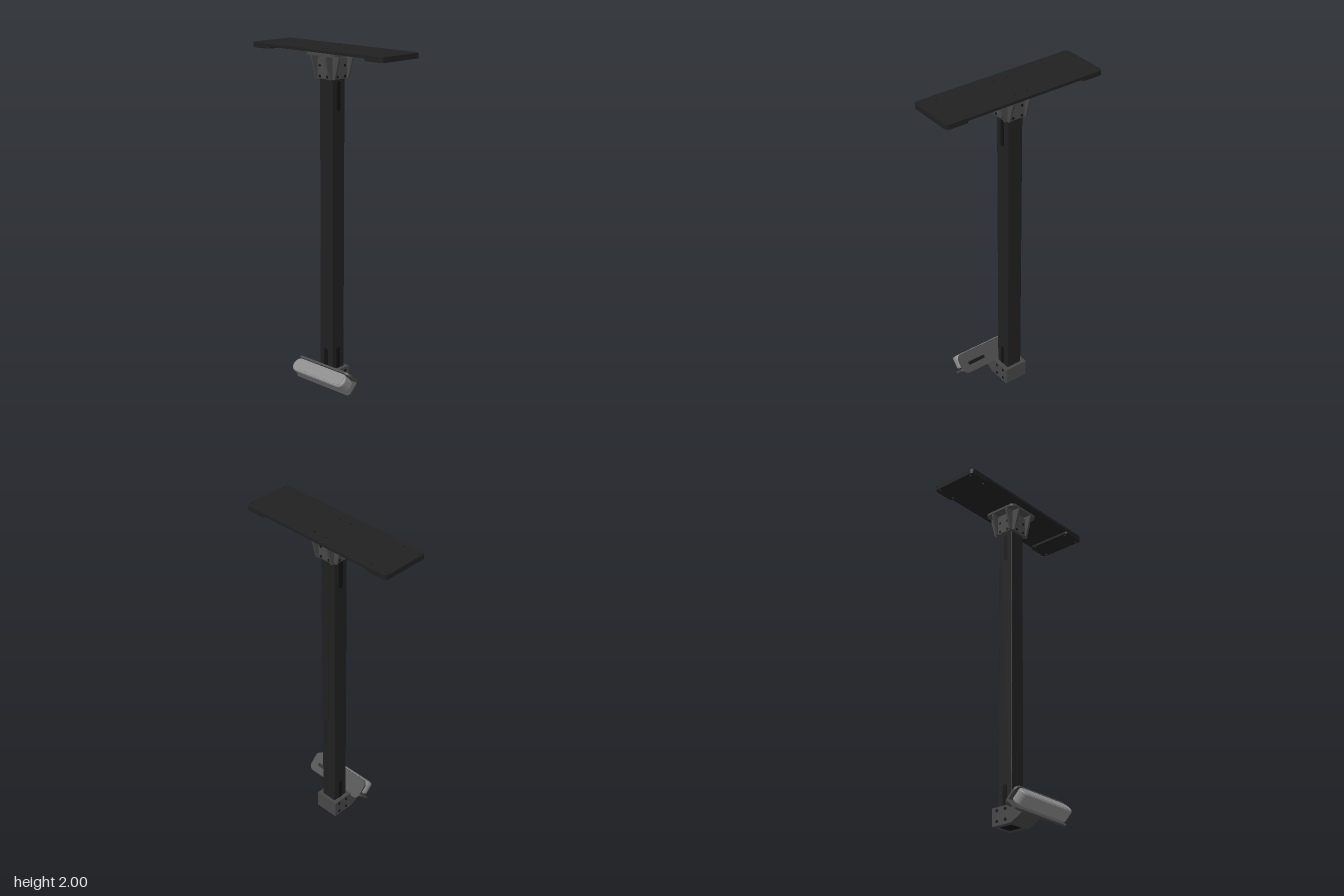
import * as THREE from 'three';

const mat = (name, color) => Object.assign(new THREE.MeshStandardMaterial({ color }), { name });

// Rounded rectangle outline, centred on the origin
function roundRect(w, h, r, Target = THREE.Shape) {
  const s = new Target(), x = w / 2, y = h / 2;
  s.moveTo(x, -y + r);
  s.lineTo(x, y - r).absarc(x - r, y - r, r, 0, Math.PI / 2);
  s.lineTo(-x + r, y).absarc(-x + r, y - r, r, Math.PI / 2, Math.PI);
  s.lineTo(-x, -y + r).absarc(-x + r, -y + r, r, Math.PI, Math.PI * 1.5);
  s.lineTo(x - r, -y).absarc(x - r, -y + r, r, Math.PI * 1.5, Math.PI * 2);
  return s;
}

// Extrusion centred along its depth
function slab(shape, depth, opts = {}) {
  const g = new THREE.ExtrudeGeometry(shape, { depth, bevelEnabled: false, curveSegments: 8, ...opts });
  return g.translate(0, 0, -depth / 2);
}

// Outline of [z, y] points, extruded along x
const sideProfile = (pts, width) =>
  slab(new THREE.Shape(pts.map(p => new THREE.Vector2(...p))), width).rotateY(-Math.PI / 2);

export function createModel() {
  const root = new THREE.Group();
  const black = mat('black metal', 0x202020);
  const grey = mat('dark grey bracket', 0x464646);
  const silver = mat('grey casing', 0x8a8a8a);
  const dark = mat('recess black', 0x121212);
  const add = (parent, name, geo, m, x = 0, y = 0, z = 0) => {
    const mesh = new THREE.Mesh(geo, m);
    mesh.name = name;
    mesh.position.set(x, y, z);
    parent.add(mesh);
    return mesh;
  };
  const box = (w, h, d) => new THREE.BoxGeometry(w, h, d);
  const disc = r => new THREE.CylinderGeometry(r, r, 0.004, 12);
  const postZ = -0.03, plateZ = -0.035;

  // Top plate with mounting slots
  const top = roundRect(1.02, 0.306, 0.025);
  for (const x of [-0.495, -0.385, 0.385, 0.495]) for (const y of [-0.12, 0.12]) {
    const hole = new THREE.Path();
    hole.absellipse(x, y, 0.004, 0.008, 0, Math.PI * 2, true);
    top.holes.push(hole);
  }
  add(root, 'topPlate', slab(top, 0.016).rotateX(-Math.PI / 2), black, 0, 1.992, plateZ);
  for (const x of [-0.042, 0.042]) for (const z of [-0.128, 0.055])
    add(root, 'plateScrew', disc(0.005), dark, x, 1.9985, z);

  // Thick pads under both plate ends
  for (const s of [-1, 1]) {
    const pad = roundRect(0.14, 0.3, 0.02);
    for (const x of [-0.055, 0.055]) for (const y of [-0.12, 0.12]) {
      const hole = new THREE.Path();
      hole.absellipse(x, y, 0.004, 0.008, 0, Math.PI * 2, true);
      pad.holes.push(hole);
    }
    add(root, 'endPad', slab(pad, 0.015).rotateX(-Math.PI / 2), black, s * 0.44, 1.9775, plateZ);
  }

  // Hollow post
  const tube = roundRect(0.1, 0.1, 0.006);
  tube.holes.push(roundRect(0.084, 0.084, 0.004, THREE.Path));
  add(root, 'post', slab(tube, 1.95).rotateX(-Math.PI / 2), black, 0, 0.985, postZ);
  for (const s of [-1, 1]) for (const y of [1.73, 0.15])
    add(root, 'postSlot', slab(roundRect(0.03, 0.17, 0.015), 0.003).rotateY(Math.PI / 2), dark, s * 0.05, y, postZ);
  add(root, 'frontSlot', slab(roundRect(0.03, 0.12, 0.015), 0.003), dark, 0, 0.17, 0.02);

  // Upper bracket: flange, sleeve and paired gussets on each side
  const bracket = new THREE.Group();
  bracket.name = 'upperBracket';
  bracket.position.set(0, 0, postZ);
  root.add(bracket);
  add(bracket, 'spacer', box(0.14, 0.012, 0.14), black, 0, 1.98, 0);
  add(bracket, 'flange', slab(roundRect(0.222, 0.222, 0.03), 0.014).rotateX(-Math.PI / 2), grey, 0, 1.968, 0);
  add(bracket, 'sleeve', box(0.118, 0.14, 0.118), grey, 0, 1.898, 0);
  for (let i = 0; i < 4; i++) {
    const side = new THREE.Group();
    side.name = 'bracketSide';
    side.rotation.y = i * Math.PI / 2;
    bracket.add(side);
    add(side, 'screwPanel', box(0.095, 0.115, 0.014), grey, 0, 1.886, 0.062);
    for (const s of [-1, 1]) {
      add(side, 'gusset', sideProfile([[0.055, 1.828], [0.077, 1.828], [0.109, 1.945], [0.11, 1.965], [0.055, 1.965]], 0.012), grey, s * 0.054, 0, 0);
      for (const y of [1.842, 1.902])
        add(side, 'bracketScrew', disc(0.008).rotateX(Math.PI / 2), dark, s * 0.029, y, 0.069);
    }
  }

  // Base socket and sloping arm
  add(root, 'baseSocket', box(0.15, 0.105, 0.135), grey, 0, 0.0525, -0.0325);
  add(root, 'baseOpening', box(0.084, 0.003, 0.084), dark, 0, 0.0012, postZ);
  add(root, 'arm', sideProfile([[0.02, 0], [0.04, 0], [0.117, 0.042], [0.068, 0.1], [0.02, 0.1]], 0.155), grey);
  for (const s of [-1, 1]) for (const y of [0.025, 0.085]) for (const z of [-0.065, -0.005])
    add(root, 'baseScrew', disc(0.009).rotateZ(Math.PI / 2), dark, s * 0.075, y, z);

  // Tilted sensor and its angled holder
  const sensor = new THREE.Group();
  sensor.name = 'sensor';
  sensor.position.set(0.078, 0.11, 0.13);
  sensor.rotation.x = -Math.PI / 4;
  root.add(sensor);
  const casing = slab(roundRect(0.4, 0.066, 0.032), 0.056, {
    bevelEnabled: true, bevelSize: 0.01, bevelThickness: 0.011, bevelSegments: 4, curveSegments: 12,
  });
  add(sensor, 'sensorCasing', casing, silver, 0, 0, 0.004);
  add(sensor, 'sensorWindow', slab(roundRect(0.39, 0.06, 0.03), 0.004, { curveSegments: 12 }), silver, 0, 0, 0.043);

  // Holder: upper cover with rounded corners and a rear panel
  add(sensor, 'holderCover', slab(roundRect(0.42, 0.125, 0.035), 0.013).rotateX(-Math.PI / 2), grey, 0, 0.051, -0.02);
  add(sensor, 'coverSlot', slab(roundRect(0.12, 0.02, 0.01), 0.003).rotateX(-Math.PI / 2), dark, 0.1, 0.058, -0.03);
  add(sensor, 'holderBack', slab(roundRect(0.436, 0.1, 0.02), 0.012), grey, 0, 0.004, -0.05);
  for (const x of [-0.17, 0.08, 0.17])
    add(sensor, 'holderScrew', disc(0.008).rotateX(Math.PI / 2), dark, x, 0, -0.056);

  return root;
}
